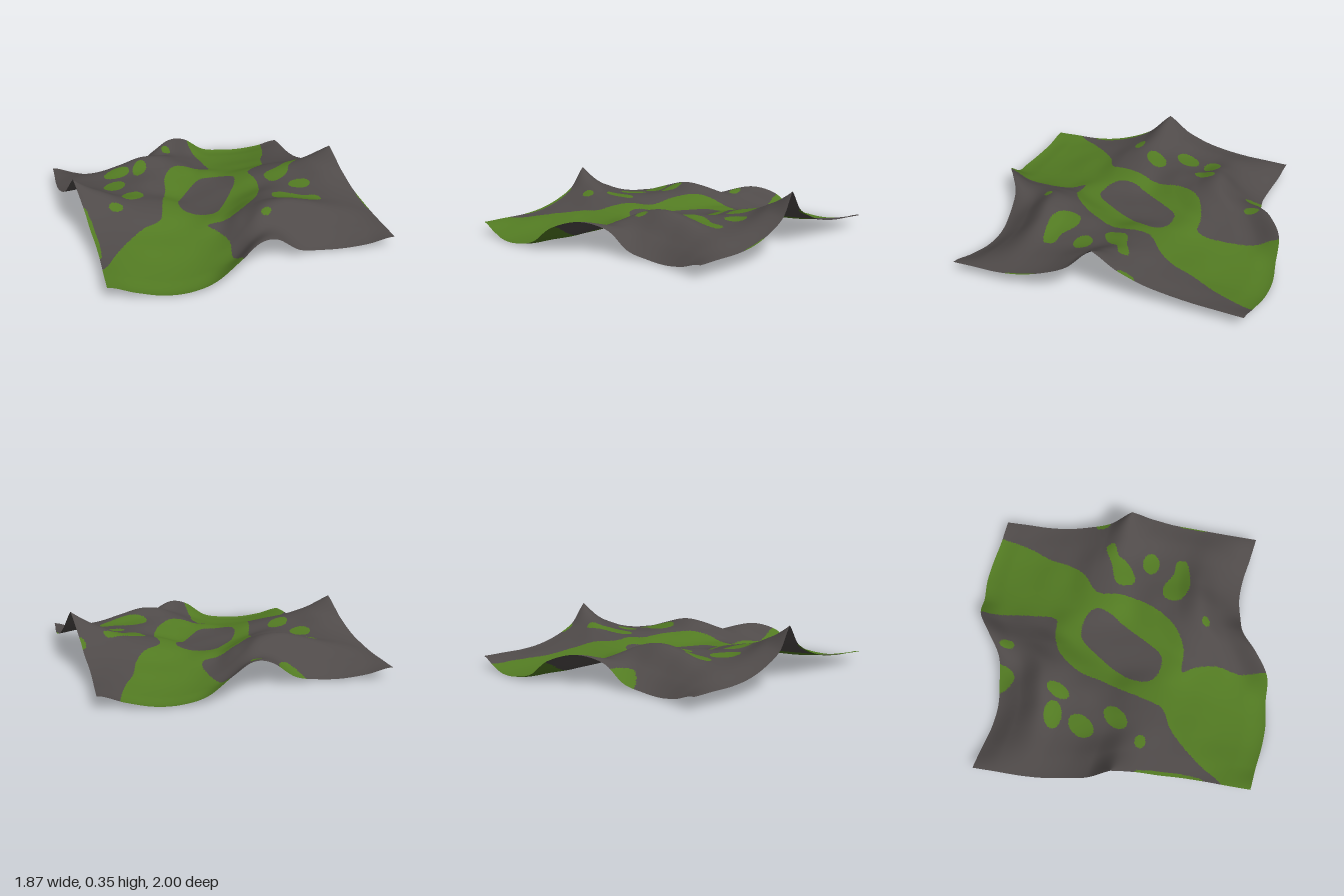
import * as THREE from 'three';

const HALF = 0.9;   // half side of the tile before its edges are bent
const CELLS = 220;  // fine surface divisions

// Control heights (hundredths) for rows from the middle to the front edge.
// The back half is the front half turned by 180 degrees.
const HEIGHTS = [
  [31, 26.5, 21, 18, 15, 10.5, 10, 10.5, 15, 18, 21, 26.5, 31],
  [21.5, 19.5, 17.5, 15, 13, 10.5, 10, 10.5, 14.5, 17.5, 19, 22.5, 21.5],
  [15, 13.5, 11.5, 9.5, 9.5, 11.5, 12, 14.5, 18, 17.5, 17, 17.5, 15],
  [11, 10, 8, 6.5, 6.5, 9, 16, 19.5, 20, 17.5, 16, 14.5, 11],
  [9, 7.5, 4.5, 3.5, 4.5, 8.5, 15.5, 22.5, 24, 20.5, 16, 13, 9],
  [8.5, 5.5, 2.5, 2, 4, 8.5, 14.5, 16, 13, 10, 9, 9, 8.5],
  [8, 4, 1.5, 1.8, 5, 15, 19.3, 15, 5, 1.8, 1.5, 4, 8],
];

// Sideways bend of the tile from its middle to its edge
const BEND = [0, 0.83, 0.93, 1, 0.78, 0.37, 0];

// Grassy valley outline and the bare floor inside it, as x, z pairs
const VALLEY = [
  [0.2, -1.1], [0.19, -0.7], [0.17, -0.47], [0.05, -0.46], [-0.1, -0.41], [-0.22, -0.27],
  [-0.27, -0.1], [-0.33, 0.05], [-0.38, 0.2], [-0.42, 0.3], [-0.55, 0.36], [-0.68, 0.47],
  [-0.78, 0.58], [-0.88, 0.71], [-1, 0.78], [-1, 1.1], [-0.16, 1.1], [-0.13, 0.95],
  [-0.13, 0.8], [-0.09, 0.65], [-0.11, 0.5], [-0.15, 0.42], [0, 0.42], [0.15, 0.35],
  [0.28, 0.2], [0.36, 0], [0.37, -0.2], [0.5, -0.3], [0.57, -0.4], [0.62, -0.55],
  [0.7, -0.7], [0.77, -0.9], [0.8, -1.1],
];
const FLOOR = [
  [0.06, -0.285], [0.2, -0.26], [0.255, -0.2], [0.24, -0.12], [0.15, 0.01], [0.05, 0.16],
  [-0.03, 0.26], [-0.08, 0.28], [-0.2, 0.245], [-0.245, 0.18], [-0.235, 0.08], [-0.17, -0.04],
  [-0.06, -0.18], [0, -0.25],
];

// Irregular grass patches
const BLOTS = [
  [[-0.38, -0.85], [-0.35, -0.75], [-0.28, -0.7], [-0.22, -0.75], [-0.2, -0.85]],
  [[0.43, 0.01], [0.44, -0.07], [0.57, -0.115], [0.69, -0.16], [0.715, -0.11], [0.63, -0.07],
    [0.59, -0.01], [0.5, 0.05], [0.45, 0.05]],
  [[0.335, 0.37], [0.35, 0.27], [0.43, 0.255], [0.54, 0.32], [0.64, 0.34], [0.645, 0.4],
    [0.55, 0.43], [0.42, 0.43]],
];

// Oval grass patches: x, z, radius along, radius across, turn
const OVALS = [
  [-0.065, -0.77, 0.032, 0.05, 0.1], [-0.53, -0.41, 0.09, 0.058, 0],
  [-0.37, -0.39, 0.08, 0.045, -1.1], [-0.59, -0.22, 0.095, 0.065, -0.9],
  [-0.52, 0, 0.095, 0.06, -0.8], [-0.67, 0.17, 0.045, 0.036, 0.2],
  [0.6, 0.16, 0.075, 0.058, 0], [0.185, 0.555, 0.036, 0.026, -0.4],
  [-0.867, 0.37, 0.026, 0.22, 0], [0.865, -0.2, 0.025, 0.05, 0], [0.937, 0.45, 0.012, 0.12, 0],
];

// Height of a control node; the tile repeats past its edges
function node(i, j) {
  const wrap = (k) => (k > 6 ? k - 12 : k < -6 ? k + 12 : k);
  i = wrap(i);
  j = wrap(j);
  return (j < 0 ? HEIGHTS[-j][6 - i] : HEIGHTS[j][6 + i]) / 100;
}

function cubic(a, b, c, d, t) {
  return b + 0.5 * t * (c - a + t * (2 * a - 5 * b + 4 * c - d + t * (3 * (b - c) + d - a)));
}

function bend(t) {
  const g = (t / HALF) * 6, i = Math.min(5, Math.floor(g));
  const at = (k) => (k > 6 ? -BEND[12 - k] : k < -6 ? BEND[12 + k] : Math.sign(k) * BEND[Math.abs(k)]);
  return cubic(at(i - 1), at(i), at(i + 1), at(i + 2), g - i);
}

// Smooth height between the control nodes, with a sharp tip on the two side peaks
function heightAt(u, v) {
  const gu = (u / HALF) * 6, gv = (v / HALF) * 6;
  const i = Math.min(5, Math.floor(gu)), j = Math.min(5, Math.floor(gv));
  const row = (k) => cubic(node(i - 1, k), node(i, k), node(i + 1, k), node(i + 2, k), gu - i);
  const tip = 0.045 * Math.exp(-Math.hypot(v, HALF - Math.abs(u)) / 0.06);
  return cubic(row(j - 1), row(j), row(j + 1), row(j + 2), gv - j) + tip;
}

function inside(outline, x, z) {
  let hit = false;
  outline.forEach(([x1, z1], k) => {
    const [x2, z2] = outline[(k + 1) % outline.length];
    if (z1 > z !== z2 > z && x < x1 + ((z - z1) / (z2 - z1)) * (x2 - x1)) hit = !hit;
  });
  return hit;
}

function smoothOutline(points) {
  const curve = new THREE.CatmullRomCurve3(points.map(([x, z]) => new THREE.Vector3(x, 0, z)), true);
  return curve.getPoints(points.length * 4).slice(0, -1).map((p) => [p.x, p.z]);
}

function inOval(x, z) {
  return OVALS.some(([cx, cz, a, b, turn]) => {
    const c = Math.cos(turn), s = Math.sin(turn), dx = x - cx, dz = z - cz;
    return ((dx * c + dz * s) / a) ** 2 + ((dz * c - dx * s) / b) ** 2 < 1;
  });
}

export function createModel() {
  const rock = new THREE.MeshStandardMaterial({ color: 0x4f4a49, side: THREE.DoubleSide });
  rock.name = 'rock grey';
  const grass = new THREE.MeshStandardMaterial({ color: 0x527a22, side: THREE.DoubleSide });
  grass.name = 'grass green';

  // Surface points, with the square tile bent into wavy edges
  const positions = [];
  for (let j = 0; j <= CELLS; j++) {
    for (let i = 0; i <= CELLS; i++) {
      const u = HALF * ((2 * i) / CELLS - 1), v = HALF * ((2 * j) / CELLS - 1);
      positions.push(u + 0.035 * bend(v), heightAt(u, v), v - 0.1 * bend(u));
    }
  }

  // Sort the triangles into rock and grass
  const valley = smoothOutline(VALLEY), floor = smoothOutline(FLOOR);
  const blots = BLOTS.map(smoothOutline);
  const rockFaces = [], grassFaces = [];
  const addFace = (...face) => {
    const mid = (axis) => face.reduce((sum, k) => sum + positions[3 * k + axis], 0) / 3;
    const x = mid(0), z = mid(2);
    const green = (inside(valley, x, z) && !inside(floor, x, z))
      || inOval(x, z) || blots.some((blot) => inside(blot, x, z));
    (green ? grassFaces : rockFaces).push(...face);
  };
  for (let j = 0; j < CELLS; j++) {
    for (let i = 0; i < CELLS; i++) {
      const a = j * (CELLS + 1) + i, b = a + 1, c = a + CELLS + 1, d = c + 1;
      addFace(a, c, b);
      addFace(b, c, d);
    }
  }

  // Shared smooth normals, then one mesh for each ground cover
  const surface = new THREE.BufferGeometry();
  surface.setAttribute('position', new THREE.Float32BufferAttribute(positions, 3));
  surface.setIndex([...rockFaces, ...grassFaces]);
  surface.computeVertexNormals();
  surface.computeBoundingBox();
  surface.translate(0, -surface.boundingBox.min.y, 0);

  const group = new THREE.Group();
  group.name = 'terrain';
  const addGround = (name, faces, material) => {
    const geometry = surface.clone();
    geometry.setIndex(faces);
    const mesh = new THREE.Mesh(geometry, material);
    mesh.name = name;
    group.add(mesh);
  };
  addGround('rockGround', rockFaces, rock);
  addGround('grassGround', grassFaces, grass);
  return group;
}
